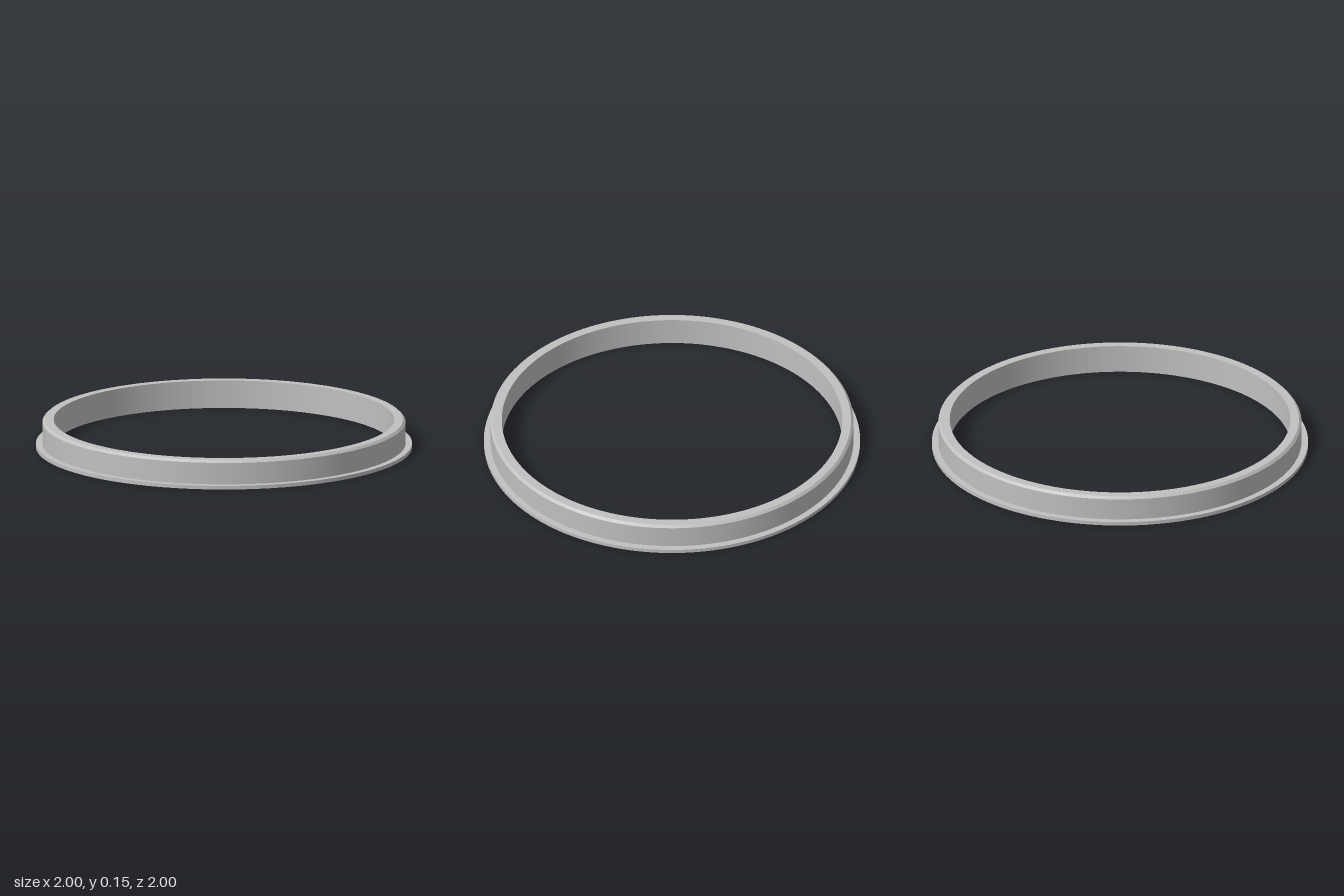
import * as THREE from 'three';
import { mergeGeometries } from 'three/addons/utils/BufferGeometryUtils.js';

// Closed ring cross-section as [radius, height], counterclockwise
const PROFILE = [
  [0.905, 0],
  [1, 0],          // flange underside
  [1, 0.02],       // flange rim
  [0.965, 0.02],   // flange top
  [0.965, 0.137],  // outer wall
  [0.952, 0.15],   // chamfer
  [0.905, 0.15],   // top edge
];

// Revolve each side separately: smooth around the ring, sharp at the edges
function revolveSharp(profile, segments) {
  const points = profile.map(([r, y]) => new THREE.Vector2(r, y));
  const sides = points.map((p, i) =>
    new THREE.LatheGeometry([p, points[(i + 1) % points.length]], segments));
  return mergeGeometries(sides);
}

export function createModel() {
  const metal = new THREE.MeshStandardMaterial({ color: 0xc0c0c0 });
  metal.name = 'light grey';

  const ring = new THREE.Mesh(revolveSharp(PROFILE, 128), metal);
  ring.name = 'flangedRing';

  const group = new THREE.Group();
  group.name = 'ring';
  group.add(ring);
  return group;
}
